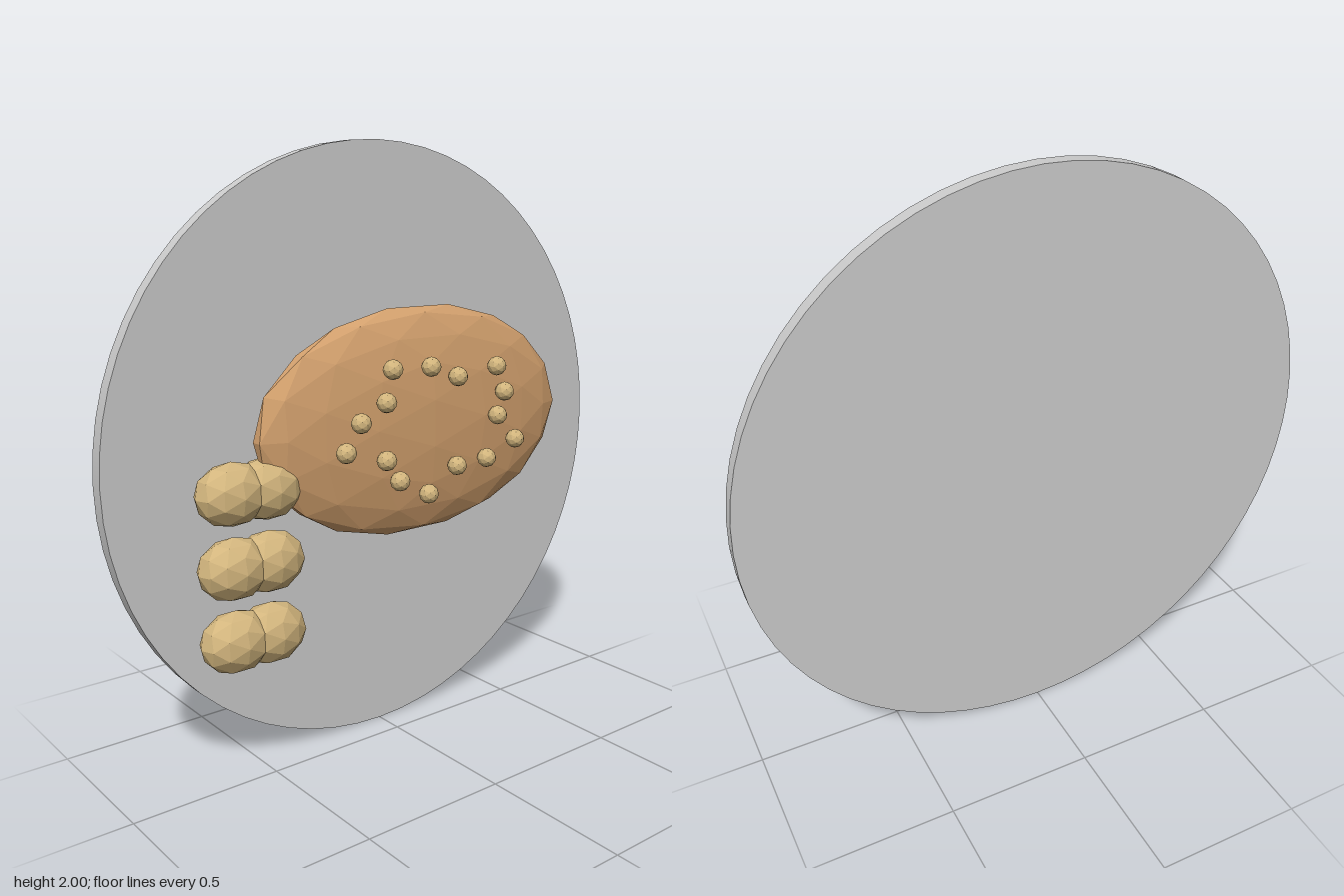
import * as THREE from 'three';

const grey = new THREE.MeshStandardMaterial({ color: 0xcccccc });
const brown = new THREE.MeshStandardMaterial({ color: 0xd2a06d, flatShading: true });
const tan = new THREE.MeshStandardMaterial({ color: 0xd2b57d, flatShading: true });

// Faceted ellipsoid with its own radii
function ellipsoid(name, detail, radii, position, material) {
  const geometry = new THREE.IcosahedronGeometry(1, detail).scale(...radii);
  const mesh = new THREE.Mesh(geometry, material);
  mesh.name = name;
  mesh.position.set(...position);
  return mesh;
}

export function createModel() {
  const model = new THREE.Group();
  model.name = 'plateWithFood';

  // Upright round plate behind everything
  const plate = new THREE.Mesh(new THREE.CylinderGeometry(1, 1, 0.048, 64), grey);
  plate.name = 'plate';
  plate.rotation.x = Math.PI / 2;
  plate.position.set(0, 1, -0.125);
  model.add(plate);

  // Flat oval loaf
  model.add(ellipsoid('loaf', 2, [0.643, 0.386, 0.093], [0.088, 1.092, 0], brown));

  // Column of three two-lobed nuts
  for (const y of [0.945, 0.71, 0.475]) {
    const nut = new THREE.Group();
    nut.name = 'nut';
    nut.position.set(-0.56, y, -0.016);
    for (const side of [-1, 1]) {
      nut.add(ellipsoid('nutLobe', 1, [0.122, 0.101, 0.084], [side * 0.063, 0, 0], tan));
    }
    model.add(nut);
  }

  // Loose ring of small beads on the face of the loaf
  const beads = [
    [-0.105, 1.29], [0.052, 1.285], [0.168, 1.243], [0.342, 1.263], [0.38, 1.172],
    [0.35, 1.093], [0.435, 1.0], [0.302, 0.95], [0.168, 0.942], [0.045, 0.864],
    [-0.076, 0.925], [-0.13, 1.0], [-0.288, 1.046], [-0.23, 1.133], [-0.13, 1.187],
  ];
  for (const [x, y] of beads) {
    model.add(ellipsoid('bead', 1, [0.033, 0.033, 0.033], [x, y, 0.111], tan));
  }

  return model;
}
